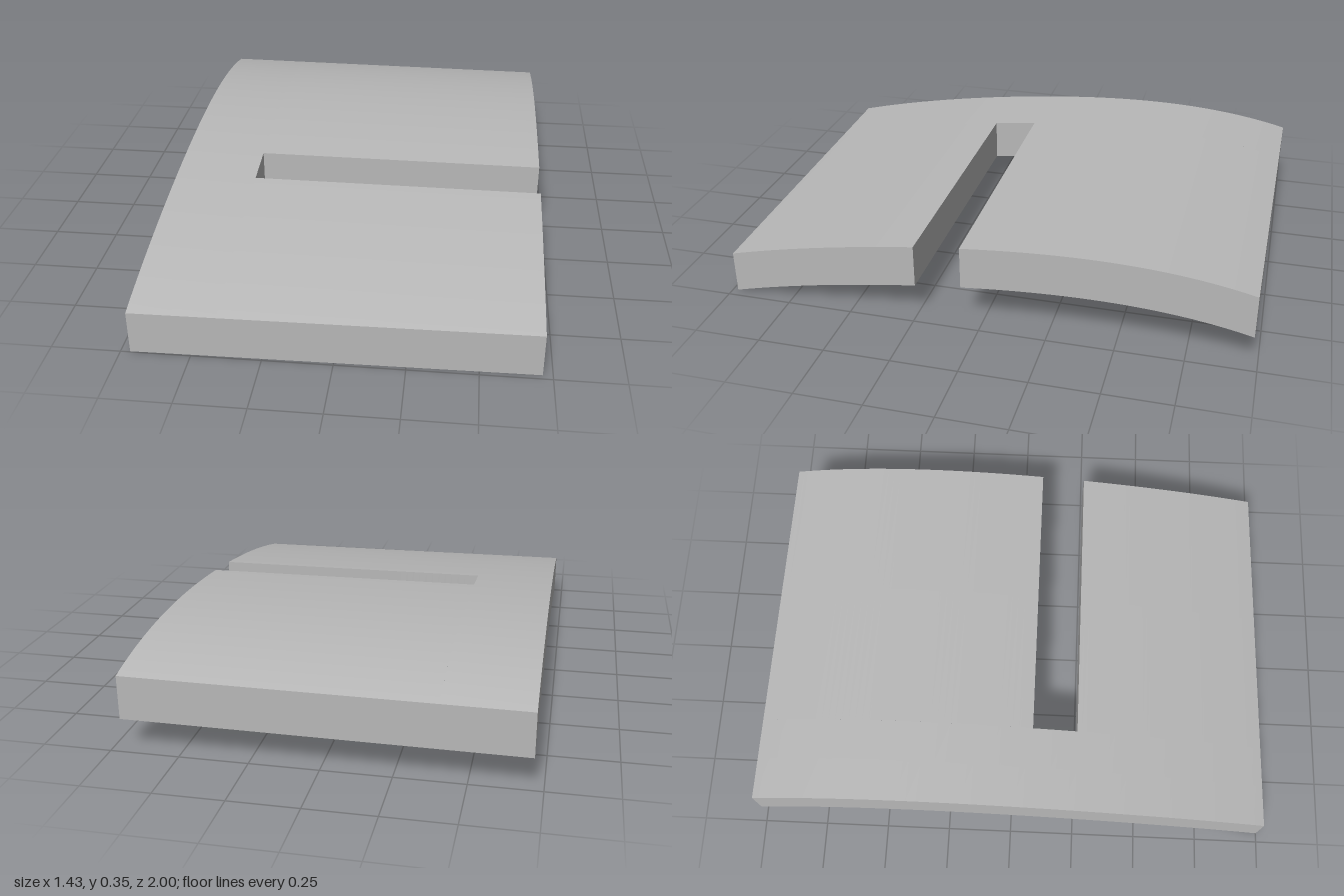
import * as THREE from 'three';

const HALF = 0.715, SLOT_X = -0.4, SLOT_BACK = 0.075, SLOT_FRONT = 0.25, THICK = 0.163;

// Arched height of the upper surface, sinking slightly towards +x
const topY = (x, z) =>
  0.167 + (z - 1) * (-0.215 + (z - 0.6) * (-0.084 - 0.021 * (z - 0.08) * (z + 0.38)))
  - 0.0055 * (x + HALF);

// The front and back ends taper slightly towards +x
const endZ = (x) => 1 - 0.014 * (x + HALF);
const lerp = THREE.MathUtils.lerp;

// Grid surface from a point rule, facing du x dv
function patch(rule, nu, nv) {
  const pos = [], index = [];
  for (let j = 0; j <= nv; j++)
    for (let i = 0; i <= nu; i++) pos.push(...rule(i / nu, j / nv));
  for (let j = 0; j < nv; j++)
    for (let i = 0; i < nu; i++) {
      const a = j * (nu + 1) + i, d = a + nu + 1;
      index.push(a, a + 1, d + 1, a, d + 1, d);
    }
  const g = new THREE.BufferGeometry();
  g.setAttribute('position', new THREE.Float32BufferAttribute(pos, 3));
  g.setIndex(index);
  g.computeVertexNormals();
  return g;
}

export function createModel() {
  const group = new THREE.Group();
  group.name = 'slottedCurvedPanel';
  const grey = new THREE.MeshStandardMaterial({ color: 0xb8b8b8 });
  grey.name = 'grey';
  const add = (name, geometry) => {
    const mesh = new THREE.Mesh(geometry, grey);
    mesh.name = name;
    group.add(mesh);
  };

  // Upper and lower skins of the spine and of the two leaves beside the slot
  const regions = [
    ['spine', -HALF, SLOT_X, (x) => -endZ(x), endZ],
    ['backLeaf', SLOT_X, HALF, (x) => -endZ(x), () => SLOT_BACK],
    ['frontLeaf', SLOT_X, HALF, () => SLOT_FRONT, endZ],
  ];
  for (const [name, x0, x1, z0, z1] of regions) {
    const point = (s, t, drop) => {
      const x = lerp(x0, x1, s), z = lerp(z0(x), z1(x), t);
      return [x, topY(x, z) - drop, z];
    };
    add(name + 'Top', patch((u, v) => point(v, u, 0), 40, 2));
    add(name + 'Underside', patch((u, v) => point(u, v, THICK), 2, 40));
  }

  // Vertical walls around the outline and the slot
  const e = endZ(HALF);
  const outline = [
    ['frontWall', -HALF, 1], ['frontLeafWall', HALF, e],
    ['slotFrontWall', HALF, SLOT_FRONT], ['slotEndWall', SLOT_X, SLOT_FRONT],
    ['slotBackWall', SLOT_X, SLOT_BACK], ['backLeafWall', HALF, SLOT_BACK],
    ['backWall', HALF, -e], ['spineWall', -HALF, -1],
  ];
  outline.forEach(([name, xa, za], i) => {
    const [, xb, zb] = outline[(i + 1) % outline.length];
    add(name, patch((u, v) => {
      const x = lerp(xa, xb, u), z = lerp(za, zb, u);
      return [x, topY(x, z) - THICK * (1 - v), z];
    }, 40, 1));
  });
  return group;
}
